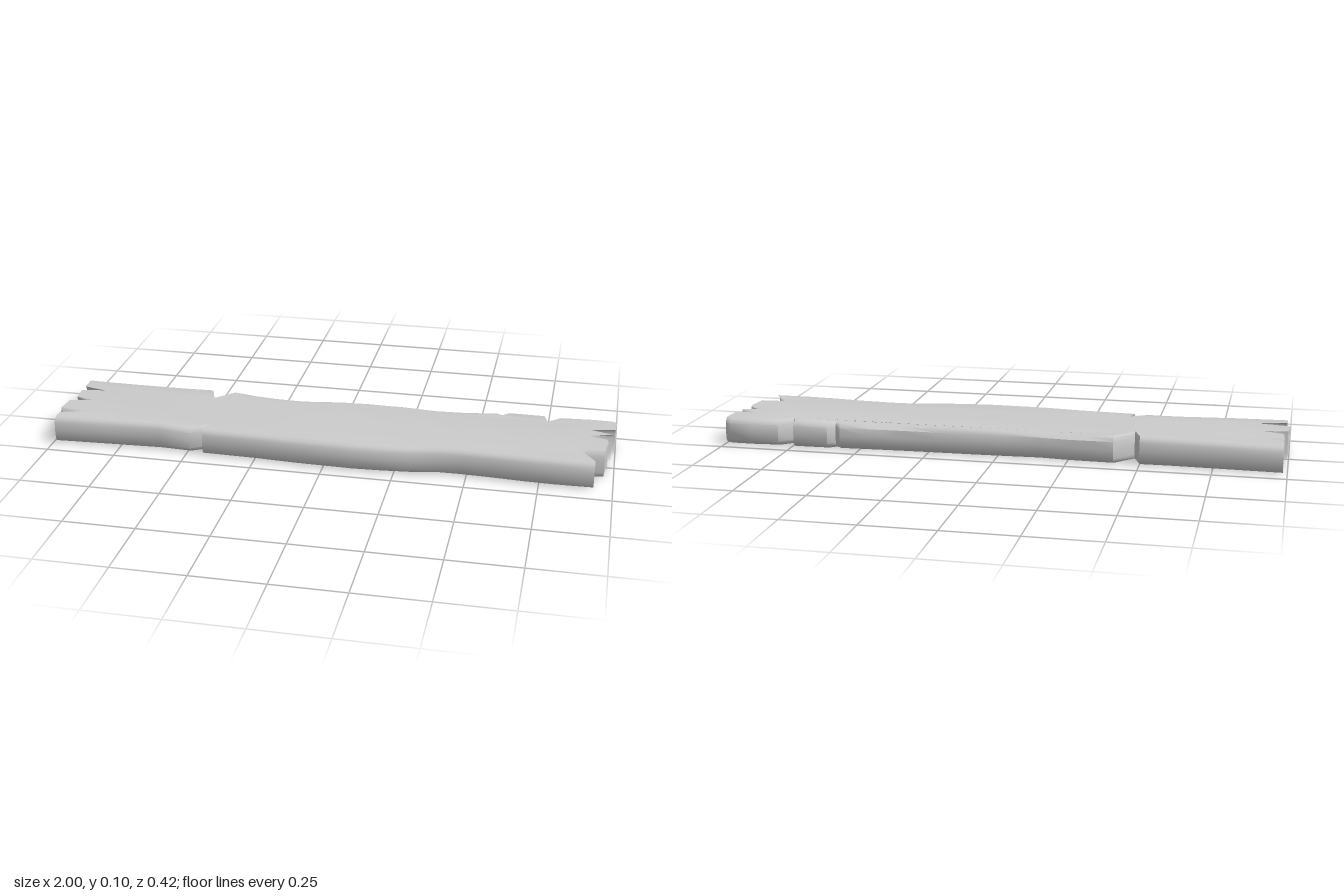
import * as THREE from 'three';
import { toCreasedNormals } from 'three/addons/utils/BufferGeometryUtils.js';

// Plank outline seen from above, as [x, z]
const backEdge = [
  [-0.985, -0.195], [-0.8, -0.19], [-0.6, -0.185], [-0.5, -0.187], [-0.475, -0.11],
  [-0.41, -0.19], [-0.33, -0.188], [-0.25, -0.185], [-0.15, -0.175], [0, -0.182], [0.1, -0.185],
  [0.22, -0.187], [0.35, -0.19], [0.46, -0.195], [0.57, -0.2], [0.59, -0.183], [0.615, -0.205],
  [0.74, -0.208], [0.755, -0.16], [0.8, -0.203], [0.9, -0.213], [0.98, -0.212],
];
const rightEnd = [
  [1, -0.2], [0.995, -0.13], [0.963, -0.112], [0.985, -0.08], [0.955, -0.055], [0.968, -0.03],
  [0.975, 0], [0.967, 0.05], [0.966, 0.08], [0.93, 0.09], [0.935, 0.11], [0.918, 0.15],
];
const frontEdge = [
  [0.935, 0.182], [0.8, 0.185], [0.7, 0.182], [0.6, 0.175], [0.48, 0.169], [0.4, 0.17], [0.3, 0.19],
  [0.2, 0.2], [0.1, 0.205], [-0.1, 0.2], [-0.25, 0.19], [-0.44, 0.185], [-0.43, 0.138],
  [-0.49, 0.177], [-0.6, 0.17], [-0.8, 0.18], [-0.99, 0.19],
];
const leftEnd = [
  [-0.99, 0.15], [-0.935, 0.115], [-1, 0.1], [-0.995, 0.02], [-0.96, 0.005], [-0.98, -0.02],
  [-0.985, -0.09], [-0.95, -0.105], [-0.985, -0.13],
];

// Heights and side insets of the rounded long edges, bottom to top
const levels = [
  [0, 0.022], [0.006, 0.01], [0.018, 0.002], [0.049, 0], [0.078, 0.002], [0.09, 0.01], [0.096, 0.022],
];

// Worn patches on the upper back edge
const bump = (x, centre, width) => Math.max(0, 1 - ((x - centre) / width) ** 2);
const wear = (x) => bump(x, -0.25, 0.17) + bump(x, 0.4, 0.2);

function plankGeometry() {
  const points = [...backEdge, ...rightEnd, ...frontEdge, ...leftEnd]
    .map(([x, z]) => new THREE.Vector2(x, -z));
  const steps = levels.length - 1;
  const geometry = new THREE.ExtrudeGeometry(new THREE.Shape(points), {
    depth: 1, steps, bevelEnabled: false,
  });
  geometry.rotateX(-Math.PI / 2);

  const p = geometry.attributes.position;
  for (let i = 0; i < p.count; i++) {
    let x = p.getX(i), z = p.getZ(i);
    const t = p.getY(i);
    let [y, inset] = levels[Math.round(t * steps)];
    // Split ends run deeper towards the top
    const split = Math.abs(x) > 0.9 && Math.abs(x) < 0.964 && Math.abs(z) < 0.14;
    if (z < -0.15 && t > 0.5) {
      const w = wear(x);
      inset *= 1 + 1.5 * w;
      y -= 0.012 * w * (t - 0.5);
    }
    // Pull the long edges in, keep the broken ends upright
    z *= 1 - inset / 0.2;
    if (split) x -= Math.sign(x) * 0.05 * t * t;
    // Gentle unevenness of the upper face
    y += t * 0.002 * Math.sin(7 * x + 9 * z);
    p.setXYZ(i, x, y, z);
  }
  return toCreasedNormals(geometry, 0.65);
}

export function createModel() {
  const group = new THREE.Group();
  group.name = 'brokenPlank';
  const plank = new THREE.Mesh(
    plankGeometry(),
    new THREE.MeshStandardMaterial({ color: 0xcccccc }),
  );
  plank.name = 'plank';
  group.add(plank);
  return group;
}
